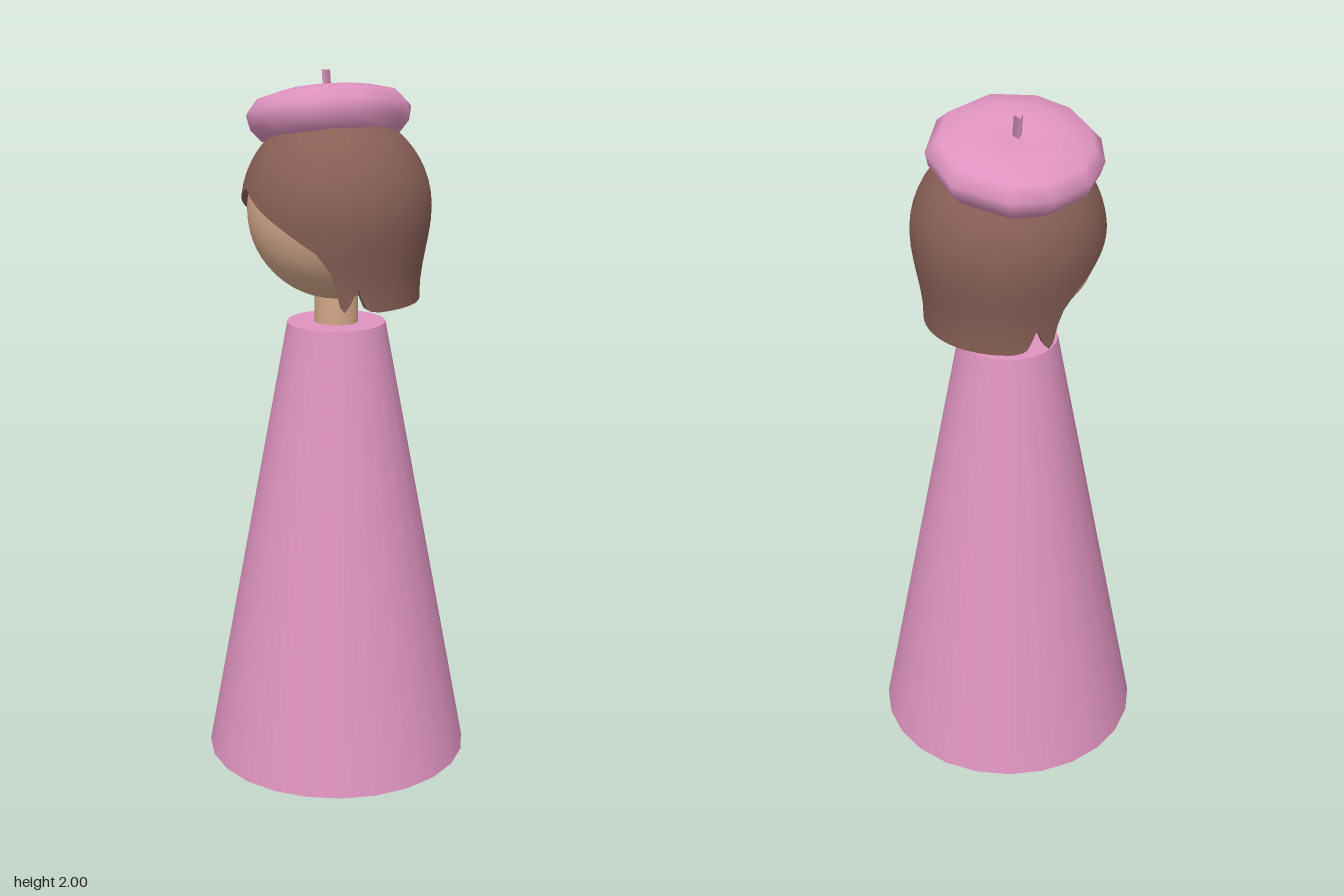
import * as THREE from 'three';
import { mergeVertices, toCreasedNormals } from 'three/addons/utils/BufferGeometryUtils.js';

const material = (name, color) => {
  const m = new THREE.MeshStandardMaterial({ color });
  m.name = name;
  return m;
};

// Hair hem height by angle in degrees away from the face direction (-x)
const HEM = [[0, 1.70], [12, 1.675], [39, 1.61], [60, 1.55], [70, 1.49], [75, 1.40], [78, 1.385],
  [81, 1.40], [87, 1.45], [92, 1.395], [96, 1.385], [102, 1.38], [180, 1.38]];

function hemHeight(deg) {
  const i = Math.max(1, HEM.findIndex(([a]) => a >= deg));
  const [a0, y0] = HEM[i - 1], [a1, y1] = HEM[i];
  return THREE.MathUtils.mapLinear(deg, a0, a1, y0, y1);
}

// Round crown that narrows to a straight bob
const CENTER = 1.64, RADIUS = 0.266;
function hairRadius(y) {
  if (y > CENTER) return Math.sqrt(Math.max(0, RADIUS ** 2 - (y - CENTER) ** 2));
  return 0.235 + 0.031 * THREE.MathUtils.smoothstep(y, 1.4, CENTER);
}

// Hair shell: each column runs down the outside to the hem and back up the inside
function hairGeometry() {
  const cols = 120, rows = 18, thick = 0.024, top = CENTER + RADIUS;
  const pos = [], index = [], n = 2 * (rows + 1);
  for (let i = 0; i < cols; i++) {
    const deg = (i / cols) * 360, a = THREE.MathUtils.degToRad(deg);
    const hem = hemHeight(Math.min(deg, 360 - deg));
    for (let k = 0; k < n; k++) {
      const inner = k > rows;
      const t = (inner ? n - 1 - k : k) / rows;
      const y = top - (top - hem) * t ** 1.7;
      const r = Math.max(0, hairRadius(y) - (inner ? thick : 0));
      pos.push(-r * Math.cos(a), inner ? y - thick * (1 - t) : y, r * Math.sin(a));
      if (k === n - 1) continue;
      const p = i * n + k, q = ((i + 1) % cols) * n + k;
      index.push(p, p + 1, q + 1, p, q + 1, q);
    }
  }
  const g = new THREE.BufferGeometry();
  g.setAttribute('position', new THREE.Float32BufferAttribute(pos, 3));
  g.setIndex(index);
  return toCreasedNormals(g, 0.8);
}

// Soft, unevenly faceted beret
function beretGeometry() {
  const profile = [[0, -0.03], [0.14, -0.045], [0.195, -0.06], [0.226, -0.025], [0.235, 0.015],
    [0.205, 0.05], [0.13, 0.071], [0.06, 0.066], [0, 0.062]].map(([x, y]) => new THREE.Vector2(x, y));
  const angles = [4, 46, 83, 121, 162, 189, 220, 246, 271, 301, 329, 364];
  const g = new THREE.LatheGeometry(profile, angles.length - 1);
  const p = g.attributes.position;
  for (let i = 0; i < p.count; i++) {
    const a = THREE.MathUtils.degToRad(angles[Math.floor(i / profile.length)]);
    const r = profile[i % profile.length].x;
    p.setX(i, r * Math.sin(a));
    p.setZ(i, r * Math.cos(a));
  }
  g.deleteAttribute('uv');
  g.deleteAttribute('normal');
  const merged = mergeVertices(g, 1e-4);
  merged.computeVertexNormals();
  return merged;
}

export function createModel() {
  const pink = material('pink', 0xde93bf);
  const brown = material('brown', 0x875f55);
  const skin = material('skin', 0xd3a78a);
  const model = new THREE.Group();
  model.name = 'figure';
  const add = (name, geometry, mat, x = 0, y = 0, z = 0, parent = model) => {
    const mesh = new THREE.Mesh(geometry, mat);
    mesh.name = name;
    mesh.position.set(x, y, z);
    parent.add(mesh);
    return mesh;
  };

  // Body and head
  add('dress', new THREE.CylinderGeometry(0.14, 0.385, 1.31, 24), pink, 0, 0.655, 0);
  add('neck', new THREE.CylinderGeometry(0.062, 0.062, 0.16, 24), skin, 0, 1.38, 0);
  add('head', new THREE.SphereGeometry(0.25, 40, 28), skin, 0, 1.63, 0);
  add('hair', hairGeometry(), brown);

  // Beret tipped towards the back, with a small stalk
  const hat = new THREE.Group();
  hat.name = 'hat';
  hat.position.set(0, 1.883, -0.065);
  hat.rotation.x = -THREE.MathUtils.degToRad(13);
  model.add(hat);
  add('beret', beretGeometry(), pink, 0, 0, 0, hat);
  const stalk = add('stalk', new THREE.CylinderGeometry(0.014, 0.014, 0.075, 3), pink, 0, 0.088, -0.012, hat);
  stalk.rotation.y = Math.PI;

  return model;
}
